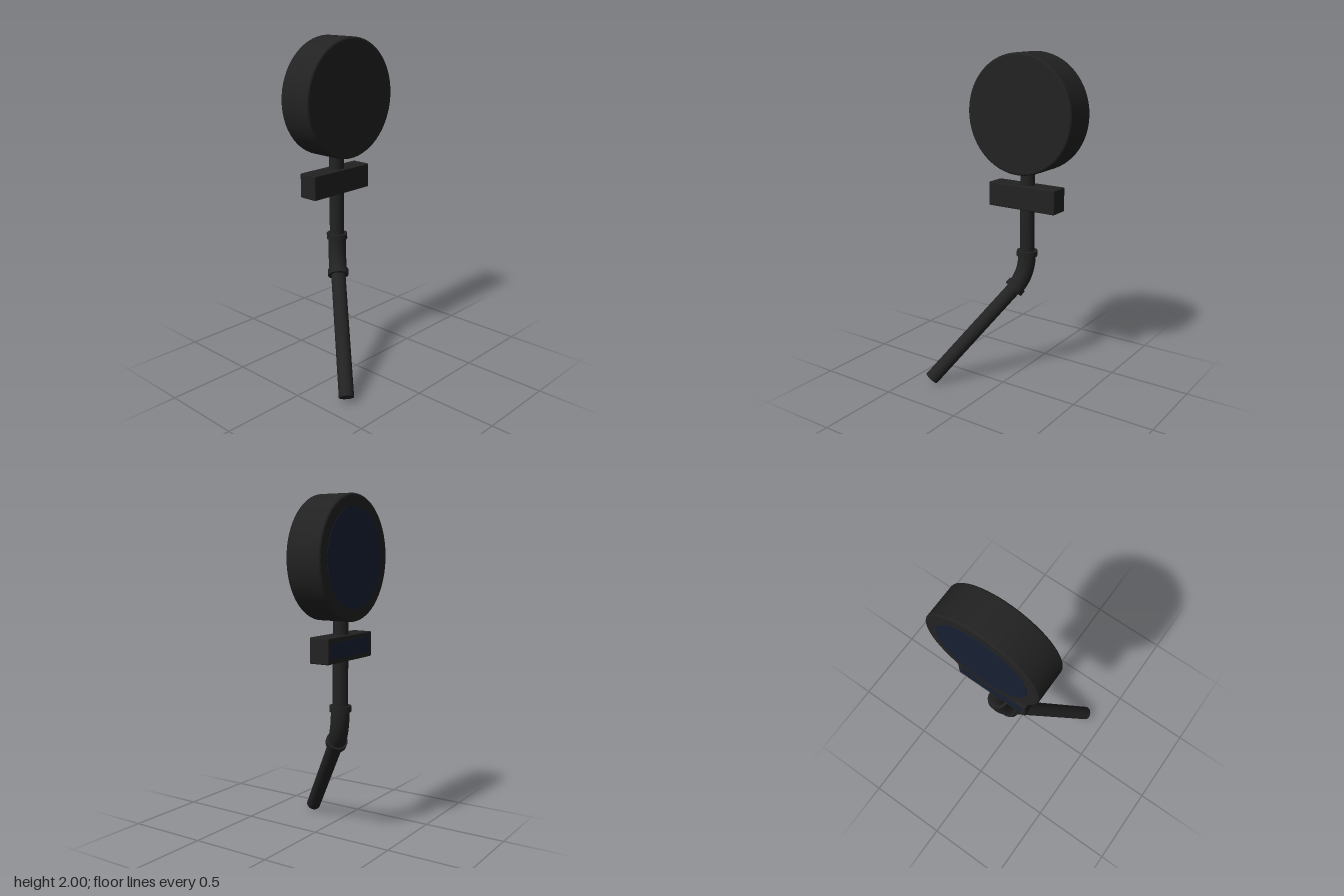
import * as THREE from 'three';
import { RoundedBoxGeometry } from 'three/addons/geometries/RoundedBoxGeometry.js';

export function createModel() {
  const group = new THREE.Group();
  const dark = new THREE.MeshStandardMaterial({ color: 0x222222 });
  const glass = new THREE.MeshStandardMaterial({ color: 0x172033 });
  const up = new THREE.Vector3(0, 1, 0);

  const add = (name, geometry, material = dark) => {
    const mesh = new THREE.Mesh(geometry, material);
    mesh.name = name;
    group.add(mesh);
    return mesh;
  };

  // Cylinder between two points
  const rod = (name, a, b, radius) => {
    const axis = b.clone().sub(a);
    const mesh = add(name, new THREE.CylinderGeometry(radius, radius, axis.length(), 32));
    mesh.position.copy(a).add(b).multiplyScalar(0.5);
    mesh.quaternion.setFromUnitVectors(up, axis.normalize());
    return mesh;
  };

  // Pipe axis: vertical down to the corner, then slanting to the foot
  const corner = new THREE.Vector3(0.04, 0.66, -0.2);
  const foot = new THREE.Vector3(-0.36, 0.03, 0.257);
  const slant = foot.clone().sub(corner).normalize();
  const above = (d) => corner.clone().addScaledVector(up, d);
  const below = (d) => corner.clone().addScaledVector(slant, d);

  rod('upperPole', above(0.1), above(0.68), 0.044);
  rod('lowerPole', below(0.07), foot, 0.044);

  // Elbow fitting with a collar at each end
  const bend = new THREE.QuadraticBezierCurve3(above(0.13), corner, below(0.11));
  add('elbow', new THREE.TubeGeometry(bend, 24, 0.054, 32));
  rod('upperCollar', above(0.122), above(0.156), 0.063);
  rod('lowerCollar', below(0.088), below(0.124), 0.063);

  // Round lamp housing with softened rims, turned about z
  const R = 0.35, half = 0.108, e = 0.012;
  const profile = [new THREE.Vector2(0, -half), new THREE.Vector2(R - e, -half)];
  for (let i = 0; i <= 4; i++) {
    const t = (i / 4) * Math.PI / 2;
    profile.push(new THREE.Vector2(R - e + e * Math.sin(t), -half + e - e * Math.cos(t)));
  }
  for (let i = 0; i <= 4; i++) {
    const t = (i / 4) * Math.PI / 2;
    profile.push(new THREE.Vector2(R - e + e * Math.cos(t), half - e + e * Math.sin(t)));
  }
  profile.push(new THREE.Vector2(R - e, half), new THREE.Vector2(0, half));
  const housing = add('roundHousing', new THREE.LatheGeometry(profile, 64));
  housing.rotation.x = Math.PI / 2;
  housing.position.set(0.045, 1.65, -0.187);

  // Round lens on the back of the housing
  const lens = add('roundLens', new THREE.CylinderGeometry(0.28, 0.28, 0.01, 64), glass);
  lens.rotation.x = Math.PI / 2;
  lens.position.set(0.045, 1.65, -0.292);

  // Rectangular sign box with its own lens
  add('signBox', new RoundedBoxGeometry(0.46, 0.146, 0.122, 2, 0.006))
    .position.set(0.03, 1.152, -0.2);
  add('signLens', new THREE.BoxGeometry(0.41, 0.092, 0.01), glass)
    .position.set(0.03, 1.152, -0.258);

  return group;
}
